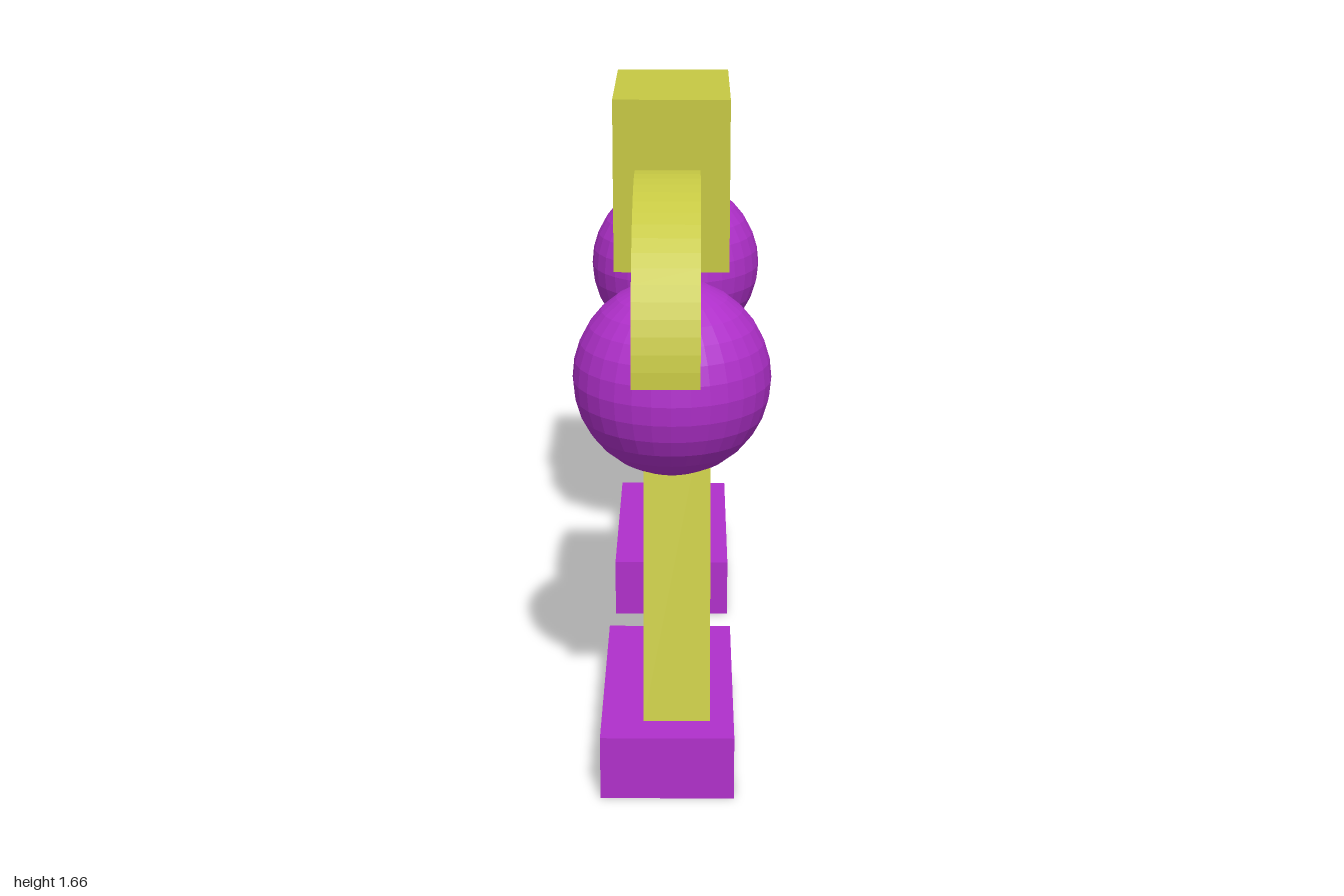
import * as THREE from 'three';

const yellow = new THREE.MeshStandardMaterial({ color: 0xc6c843, flatShading: true });
const purple = new THREE.MeshStandardMaterial({ color: 0xb030cb, flatShading: true });

function part(name, geometry, material, x, y, z) {
  const mesh = new THREE.Mesh(geometry, material);
  mesh.name = name;
  mesh.position.set(x, y, z);
  return mesh;
}

// Extrudes a (z, y) outline along x, centred on x = 0
function slab(shape, width, curveSegments = 16) {
  const geometry = new THREE.ExtrudeGeometry(shape, { depth: width, bevelEnabled: false, curveSegments });
  return geometry.translate(0, 0, -width / 2).rotateY(-Math.PI / 2);
}

// Base, tapering pillar and ball shared by both figures
function createFigure(name, baseZ, pillarZ, ballZ) {
  const figure = new THREE.Group();
  figure.name = name;
  figure.add(part('base', new THREE.BoxGeometry(0.36, 0.18, 0.72), purple, -0.01, 0.09, baseZ));

  // The pillar narrows in z only and ends inside the ball
  const outline = new THREE.Shape([
    new THREE.Vector2(-0.243, 0),
    new THREE.Vector2(0.243, 0),
    new THREE.Vector2(0.05, 0.92),
    new THREE.Vector2(-0.05, 0.92),
  ]);
  figure.add(part('pillar', slab(outline, 0.18), yellow, 0.015, 0.18, pillarZ));

  figure.add(part('ball', new THREE.SphereGeometry(0.268, 32, 16), purple, 0, 1.085, ballZ));
  return figure;
}

export function createModel() {
  const model = new THREE.Group();
  model.name = 'pairOfFigures';

  // Front figure with a half-disc crest
  const front = createFigure('frontFigure', 0.57, 0.585, 0.58);
  const halfDisc = new THREE.Shape();
  halfDisc.absarc(0, 0, 0.45, 0, Math.PI, false);
  halfDisc.closePath();
  front.add(part('halfDiscCrest', slab(halfDisc, 0.175), yellow, -0.012, 1.185, 0.55));

  // Back figure with a block-shaped head piece
  const back = createFigure('backFigure', -0.64, -0.645, -0.627);
  back.add(part('blockHeadpiece', new THREE.BoxGeometry(0.36, 0.54, 0.54), yellow, -0.01, 1.395, -0.62));

  model.add(front, back);
  return model;
}
